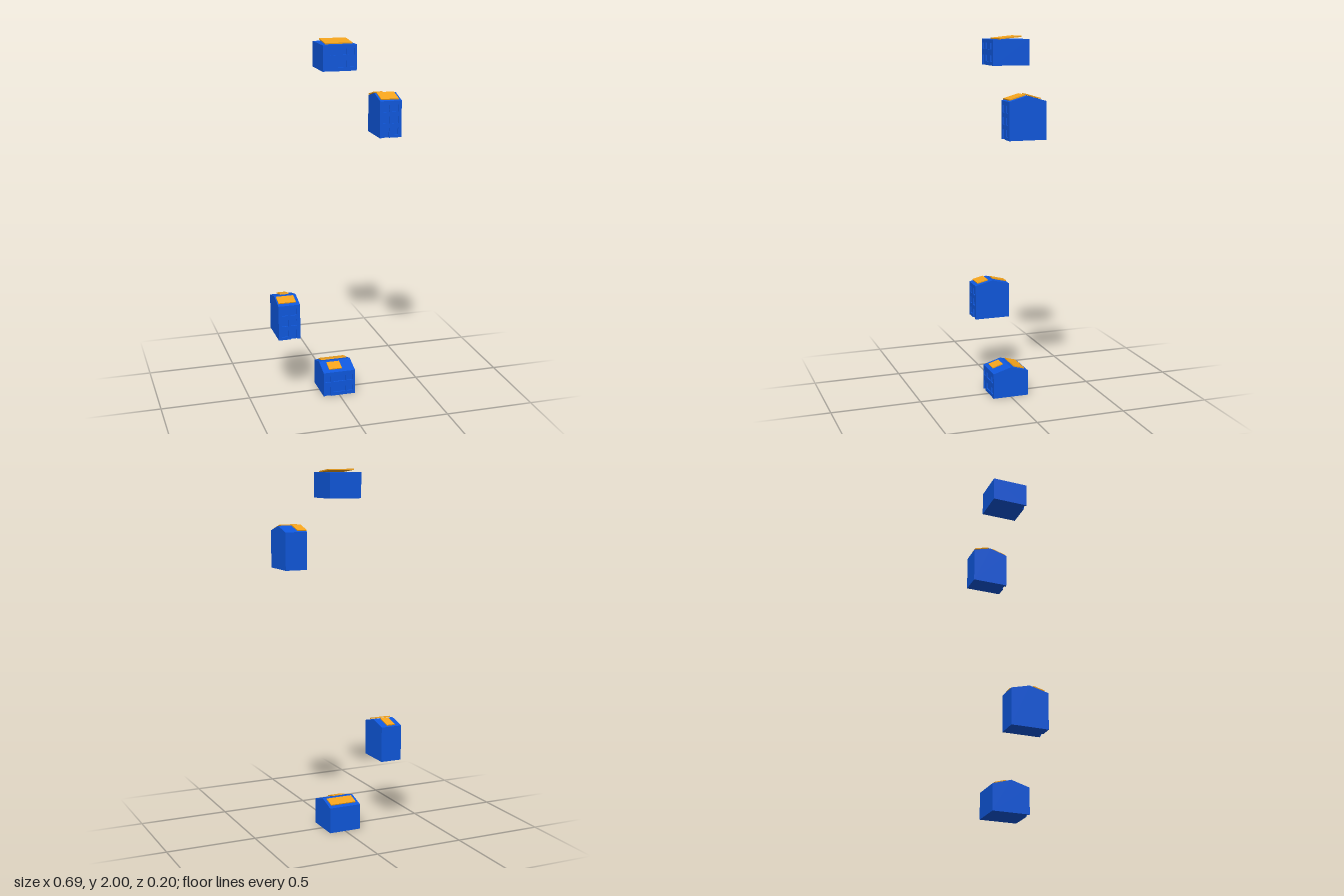
import * as THREE from 'three';

const ZH = 0.102;      // half depth of every house
const RECESS = 0.008;  // depth of window and door recesses

const blue = new THREE.MeshStandardMaterial({ color: 0x0f58de, flatShading: true });
const orange = new THREE.MeshStandardMaterial({ color: 0xf5a41c, flatShading: true });

function mesh(name, geometry, material) {
  const m = new THREE.Mesh(geometry, material);
  m.name = name;
  return m;
}

function polygon(points) {
  return new THREE.Shape(points.map(([x, y]) => new THREE.Vector2(x, y)));
}

// Main block: side profile (with gable when rise > 0) extruded along x
function houseBody(w, eave, rise) {
  const f = -(ZH - RECESS); // shape x is -z
  const pts = rise > 0
    ? [[f, 0], [ZH, 0], [ZH, eave], [0, eave + rise], [-ZH, eave], [f, eave]]
    : [[f, 0], [ZH, 0], [ZH, eave], [f, eave]];
  const g = new THREE.ExtrudeGeometry(polygon(pts), { depth: w, bevelEnabled: false });
  return g.translate(0, 0, -w / 2).rotateY(Math.PI / 2);
}

// Front wall: window holes and a door notch open at the ground
function houseFront(w, eave, windows, door) {
  const [d0, d1, dh] = door;
  const shape = polygon([
    [-w / 2, 0], [d0, 0], [d0, dh], [d1, dh], [d1, 0],
    [w / 2, 0], [w / 2, eave], [-w / 2, eave],
  ]);
  for (const [x0, x1, y0, y1] of windows) {
    shape.holes.push(new THREE.Path(
      [[x0, y0], [x0, y1], [x1, y1], [x1, y0]].map(([x, y]) => new THREE.Vector2(x, y))));
  }
  const g = new THREE.ExtrudeGeometry(shape, { depth: RECESS, bevelEnabled: false });
  return g.translate(0, 0, ZH - RECESS);
}

// Thin panel between z0 (height y0) and z1 (height y1), raised above that line
function roofPanel(name, x0, x1, z0, z1, y0, y1, gap = 0.003) {
  const t = 0.006;
  const g = new THREE.BoxGeometry(x1 - x0, t, Math.hypot(z1 - z0, y1 - y0));
  g.translate(0, gap + t / 2, 0);
  const m = mesh(name, g, orange);
  m.position.set((x0 + x1) / 2, (y0 + y1) / 2, (z0 + z1) / 2);
  m.rotation.x = -Math.atan2(y1 - y0, z1 - z0);
  return m;
}

function house({ name, x, y, w, eave, rise, windows, door, panels }) {
  const group = new THREE.Group();
  group.name = name;
  group.position.set(x, y, 0);
  group.add(mesh('walls', houseBody(w, eave, rise), blue));
  group.add(mesh('frontWall', houseFront(w, eave, windows, door), blue));
  const roofY = (z) => eave + rise * (1 - Math.abs(z) / ZH);
  for (const [x0, x1, z0, z1] of panels) {
    group.add(roofPanel(z0 < 0 ? 'backSolarPanel' : 'frontSolarPanel',
      x0, x1, z0, z1, roofY(z0), roofY(z1)));
  }
  return group;
}

// Two floors: small, wide and small window; door at the left of the ground floor
function wideWindows(floor) {
  const out = [];
  for (let i = 0; i < 2; i++) {
    for (const [x0, x1] of [[-0.084, -0.05], [-0.034, 0.036], [0.044, 0.078]]) {
      if (i === 0 && x0 < -0.05) continue;
      out.push([x0, x1, 0.02 + i * floor, 0.054 + i * floor]);
    }
  }
  return out;
}

// Three floors of two windows; the door takes one ground floor place
function tallWindows(doorSide) {
  const out = [];
  for (let i = 0; i < 3; i++) {
    for (const side of [-1, 1]) {
      if (i === 0 && side === doorSide) continue;
      const cx = side * 0.025;
      out.push([cx - 0.018, cx + 0.018, 0.016 + i * 0.062, 0.054 + i * 0.062]);
    }
  }
  return out;
}

export function createModel() {
  const model = new THREE.Group();
  model.name = 'houses';

  const wideDoor = [-0.084, -0.05, 0.054];
  const tallDoor = (side) => [side * 0.025 - 0.017, side * 0.025 + 0.017, 0.054];

  // Low gabled house
  model.add(house({
    name: 'lowGabledHouse', x: 0, y: 0, w: 0.184, eave: 0.143, rise: 0.03,
    windows: wideWindows(0.064), door: wideDoor,
    panels: [[-0.055, 0.02, 0.022, 0.082], [-0.073, 0.077, -0.082, -0.02]],
  }));

  // Tall house on the right
  model.add(house({
    name: 'rightTallHouse', x: -0.287, y: 0.372, w: 0.122, eave: 0.199, rise: 0.026,
    windows: tallWindows(1), door: tallDoor(1),
    panels: [[-0.056, 0.042, 0.02, 0.083], [-0.025, 0.025, -0.094, -0.012]],
  }));

  // Tall house on the left
  model.add(house({
    name: 'leftTallHouse', x: 0.285, y: 1.475, w: 0.122, eave: 0.2, rise: 0.029,
    windows: tallWindows(-1), door: tallDoor(-1),
    panels: [[-0.053, 0.046, 0.01, 0.094], [-0.061, -0.01, -0.095, -0.011]],
  }));

  // Flat-roofed house with one panel tilted up at the back
  const flat = house({
    name: 'flatRoofHouse', x: 0, y: 1.845, w: 0.184, eave: 0.137, rise: 0,
    windows: wideWindows(0.064), door: wideDoor, panels: [],
  });
  flat.add(roofPanel('tiltedSolarPanel', -0.068, 0.08, -0.062, 0.062, 0.149, 0.137, 0));
  model.add(flat);

  return model;
}
